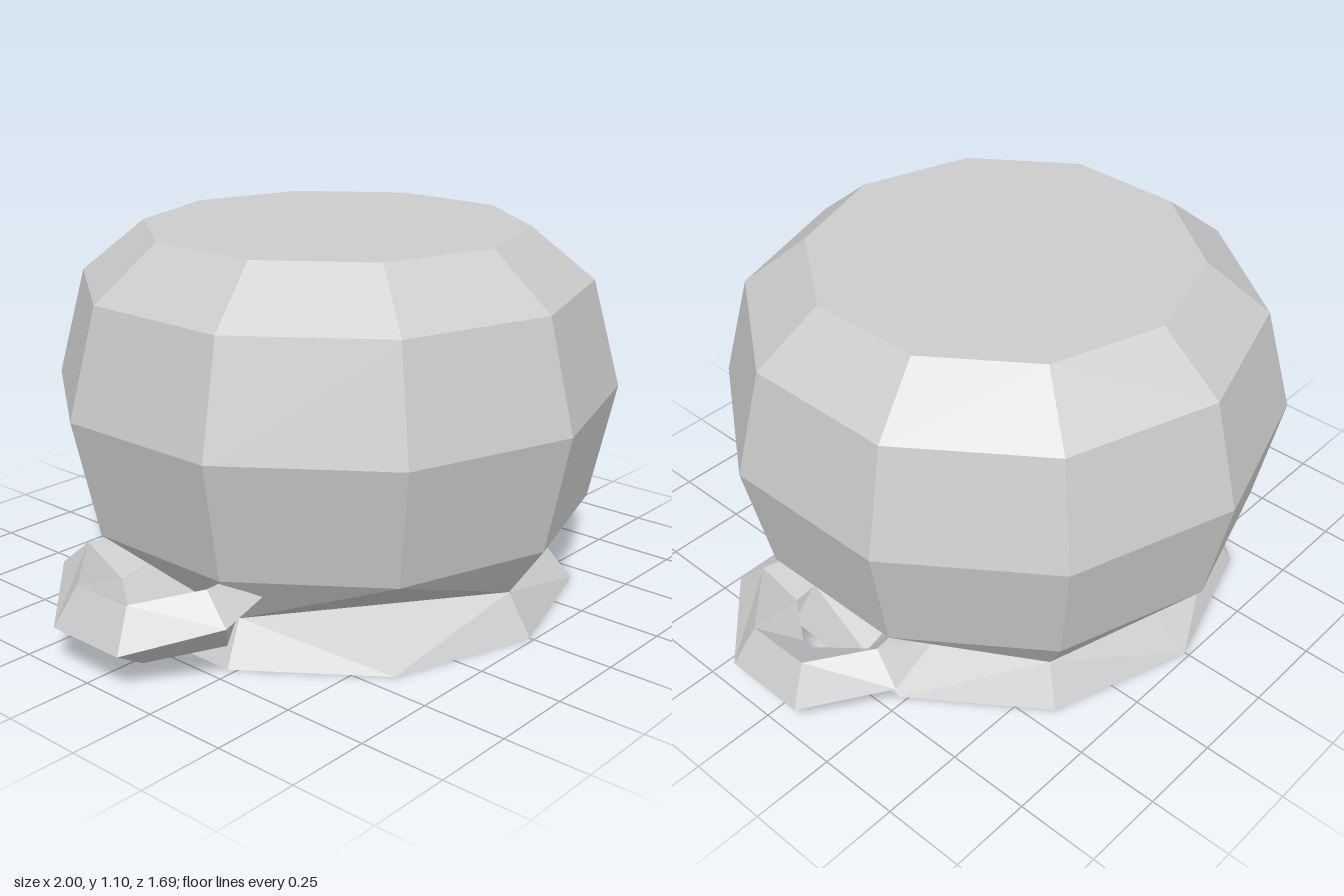
import * as THREE from 'three';

const SIDES = 10;

// Flat-shaded geometry from a list of triangles, each made of three [x, y, z] corners
function fromTriangles(tris) {
  const g = new THREE.BufferGeometry();
  g.setAttribute('position', new THREE.Float32BufferAttribute(tris.flat(2), 3));
  g.computeVertexNormals();
  return g;
}

// Ten-sided ring; odd corners may have their own radius
function ring(y, r, rOdd = r) {
  return Array.from({ length: SIDES }, (_, i) => {
    const a = (i / SIDES) * Math.PI * 2;
    const q = i % 2 ? rOdd : r;
    return [q * Math.sin(a), y, q * Math.cos(a)];
  });
}

// Joins successive rings, with diagonals alternating around the neck
function loftRings(rings) {
  const tris = [];
  for (let k = 0; k < rings.length - 1; k++) {
    for (let i = 0; i < SIDES; i++) {
      const j = (i + 1) % SIDES;
      const a = rings[k][i], b = rings[k + 1][i];
      const c = rings[k + 1][j], d = rings[k][j];
      if ((i + k) % 2 === 0) tris.push([a, b, d], [d, b, c]);
      else tris.push([a, b, c], [a, c, d]);
    }
  }
  return fromTriangles(tris);
}

// Looped handle: four-cornered sections swept from front to back
function handleGeometry() {
  // corners: top, outer, bottom, inner
  const half = [
    [[0.66, 0.26, 0.22], [0.62, 0.22, 0.30], [0.64, 0.16, 0.22], [0.60, 0.20, 0.14]],
    [[0.78, 0.27, 0.24], [0.80, 0.19, 0.33], [0.71, 0.08, 0.24], [0.74, 0.17, 0.15]],
    [[0.935, 0.235, 0.10], [1.0, 0.12, 0.13], [0.89, 0.05, 0.10], [0.83, 0.16, 0.02]],
  ];
  const back = half.map((s) => s.map(([x, y, z]) => [x, y, -z])).reverse();
  const path = [...half, ...back];
  const tris = [];
  for (let k = 0; k < path.length - 1; k++) {
    for (let i = 0; i < 4; i++) {
      const j = (i + 1) % 4;
      const a = path[k][i], b = path[k][j], c = path[k + 1][j], d = path[k + 1][i];
      tris.push([a, b, c], [a, c, d]);
    }
  }
  // end caps
  const [t, o, b, n] = path[0];
  const [t2, o2, b2, n2] = path[path.length - 1];
  tris.push([n, b, o], [n, o, t], [t2, o2, b2], [t2, b2, n2]);
  return fromTriangles(tris);
}

export function createModel() {
  const group = new THREE.Group();
  const grey = new THREE.MeshStandardMaterial({ color: 0xcccccc, flatShading: true });
  grey.name = 'plainGrey';

  // Rounded pot, five-sided neck, flared foot and the hollow underneath
  const pot = new THREE.Mesh(loftRings([
    ring(1.1, 0),
    ring(1.1, 0.57),
    ring(0.945, 0.76),
    ring(0.625, 0.845),
    ring(0.275, 0.77),
    ring(0.12, 0.66, 0.66 * Math.cos(Math.PI / 5)),
    ring(0, 0.735),
    ring(0.12, 0.48),
    ring(0.95, 0.28),
    ring(0.95, 0),
  ]), grey);
  pot.name = 'pot';
  group.add(pot);

  // A handle on each side
  const geometry = handleGeometry();
  for (const [name, turn] of [['leftHandle', 0], ['rightHandle', Math.PI]]) {
    const handle = new THREE.Mesh(geometry, grey);
    handle.name = name;
    handle.rotation.y = turn;
    group.add(handle);
  }
  return group;
}
